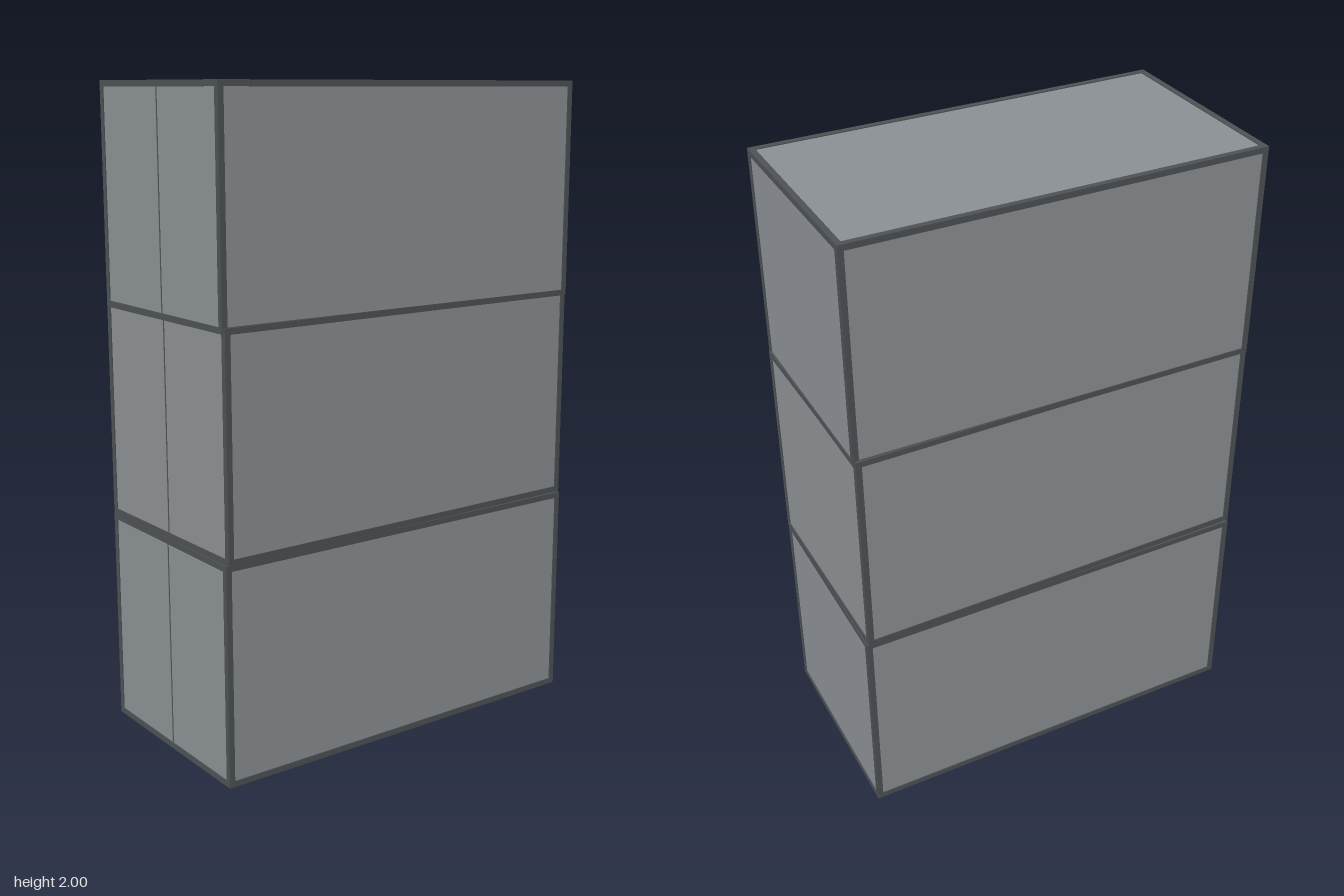
import * as THREE from 'three';

const W = 0.662, H = 0.672, D = 1.294; // one container
const RAIL = 0.018, RECESS = 0.003;

const panelMaterial = new THREE.MeshStandardMaterial({ color: 0x8a8f93 });
const frameMaterial = new THREE.MeshStandardMaterial({ color: 0x4d5154 });

function addBox(parent, name, material, size, position) {
  const mesh = new THREE.Mesh(new THREE.BoxGeometry(...size), material);
  mesh.name = name;
  mesh.position.set(...position);
  parent.add(mesh);
}

// A container centred on its own origin: edge rails, recessed panels, two front doors
function createContainer(name) {
  const container = new THREE.Group();
  container.name = name;
  const x = (W - RAIL) / 2, y = (H - RAIL) / 2, z = (D - RAIL) / 2;

  // Twelve rails along the edges
  for (const a of [-1, 1]) {
    for (const b of [-1, 1]) {
      addBox(container, 'cornerPost', frameMaterial, [RAIL, H, RAIL], [a * x, 0, b * z]);
      addBox(container, 'crossRail', frameMaterial, [W - 2 * RAIL, RAIL, RAIL], [0, a * y, b * z]);
      addBox(container, 'sideRail', frameMaterial, [RAIL, RAIL, D - 2 * RAIL], [a * x, b * y, 0]);
    }
  }

  // Panels sit just below the outer faces of the rails
  const t = 0.008, inset = t / 2 + RECESS;
  const w = W - 2 * RAIL, h = H - 2 * RAIL, d = D - 2 * RAIL;
  for (const s of [-1, 1]) {
    addBox(container, 'sidePanel', panelMaterial, [t, h, d], [s * (W / 2 - inset), 0, 0]);
    addBox(container, s > 0 ? 'roofPanel' : 'floorPanel', panelMaterial, [w, t, d], [0, s * (H / 2 - inset), 0]);
  }
  addBox(container, 'backPanel', panelMaterial, [w, h, t], [0, 0, -D / 2 + inset]);

  // Doors meeting at a narrow dark seam
  const seam = 0.008, doorWidth = (w - seam) / 2;
  for (const s of [-1, 1]) {
    addBox(container, s > 0 ? 'leftDoor' : 'rightDoor', panelMaterial,
      [doorWidth, h, t], [s * (doorWidth + seam) / 2, 0, D / 2 - inset]);
  }
  addBox(container, 'doorSeam', frameMaterial, [seam, h, t], [0, 0, D / 2 - inset - 0.001]);
  return container;
}

export function createModel() {
  const stack = new THREE.Group();
  stack.name = 'containerStack';
  // Stacked with slight turns so the edges do not line up perfectly
  const levels = [
    { name: 'bottomContainer', y: H / 2, turn: -0.005 },
    { name: 'middleContainer', y: 1.009, turn: 0.007 },
    { name: 'topContainer', y: 2 - H / 2, turn: -0.005 },
  ];
  for (const { name, y, turn } of levels) {
    const container = createContainer(name);
    container.position.y = y;
    container.rotation.y = turn;
    stack.add(container);
  }
  return stack;
}
